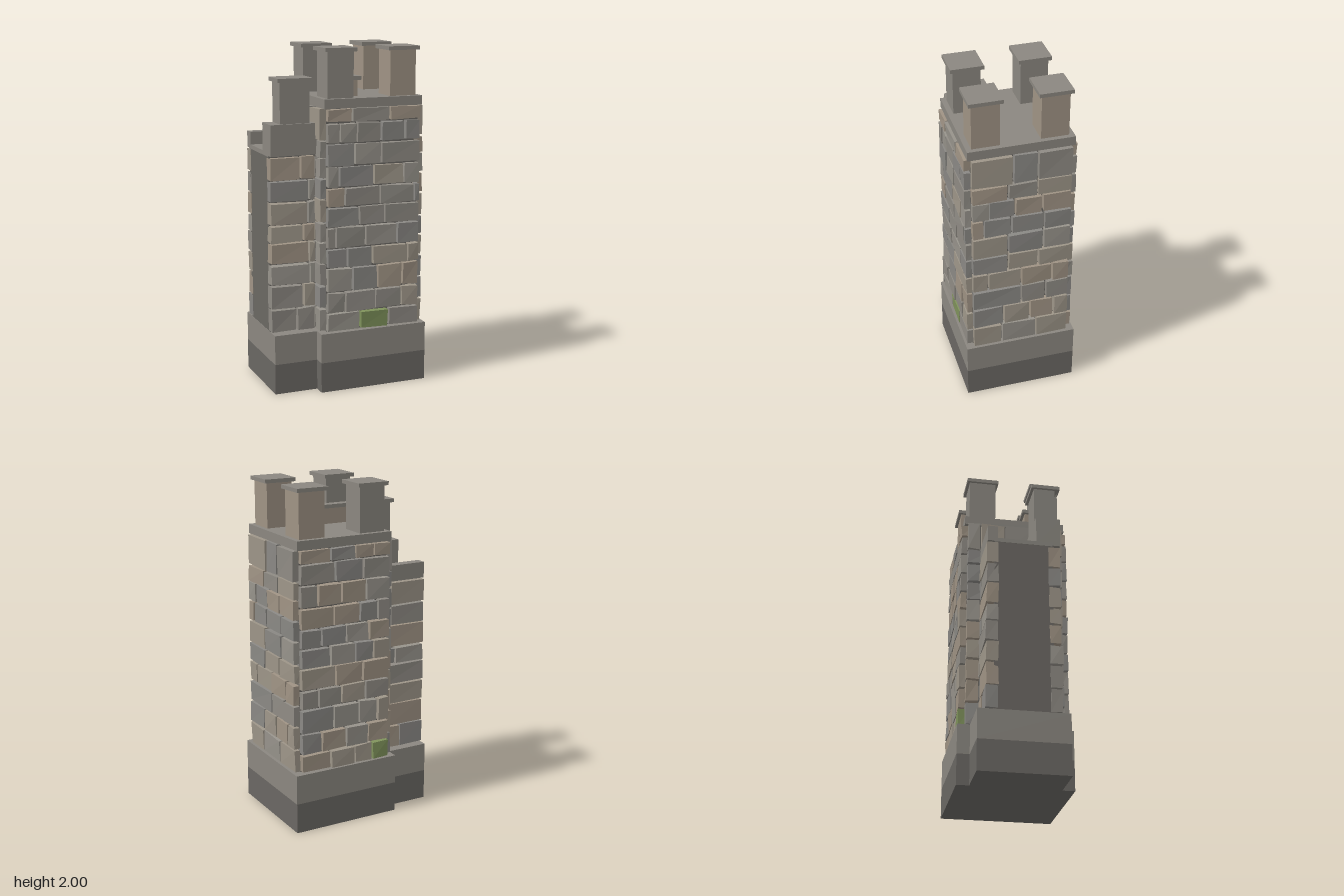
import * as THREE from 'three';

const mat = (color) => new THREE.MeshStandardMaterial({ color, flatShading: true });
const GREY = mat(0x8b8780), DARK = mat(0x6a6763), MORTAR = mat(0x6b6863), TAN = mat(0x9f9384), MOSS = mat(0x7f925b);
const STONES = [0x97938b, 0x8f8b84, 0x9d9588, 0x8a8884, 0x9f9384].map(mat);

// Small seeded generator for the stone irregularities
let seed = 7;
const rnd = () => {
  seed = (seed * 16807) % 2147483647;
  return seed / 2147483647;
};

// Box given by its limits on each axis
function block(name, [x0, x1], [y0, y1], [z0, z1], material) {
  const m = new THREE.Mesh(new THREE.BoxGeometry(x1 - x0, y1 - y0, z1 - z0), material);
  m.position.set((x0 + x1) / 2, (y0 + y1) / 2, (z0 + z1) / 2);
  m.name = name;
  return m;
}

// One rough stone: outer corners are pushed about slightly, keeping shared corners together
function stone(x0, x1, y0, y1, depth, material) {
  const m = block('stone', [x0, x1], [y0, y1], [-0.02, depth], material);
  const p = m.geometry.attributes.position;
  const shifts = Array.from({ length: 8 }, () => [0.005 * (rnd() - 0.5), 0.008 * (rnd() - 0.5), -0.008 * rnd()]);
  for (let i = 0; i < p.count; i++) {
    const k = (p.getX(i) > 0 ? 1 : 0) + (p.getY(i) > 0 ? 2 : 0) + (p.getZ(i) > 0 ? 4 : 0);
    const s = shifts[k];
    p.setXYZ(i, p.getX(i) + s[0], p.getY(i) + s[1], p.getZ(i) + s[2]);
  }
  m.geometry.computeVertexNormals();
  return m;
}

// Stone courses on one wall, local x along the wall and local z outward.
// bottoms: course bottoms then the top; splits: joints of each course; moss: stone index in the first course
function wall(name, bottoms, splits, [u0, u1], depth, moss = -1) {
  const g = new THREE.Group();
  g.name = name;
  const gap = 0.006;
  for (let r = 0; r < bottoms.length - 1; r++) {
    const edges = [u0 - gap, ...splits[r % splits.length], u1 + gap];
    for (let i = 0; i < edges.length - 1; i++) {
      const material = r === 0 && i === moss ? MOSS : STONES[Math.floor(rnd() * STONES.length)];
      g.add(stone(edges[i] + gap, edges[i + 1] - gap, bottoms[r] + gap, bottoms[r + 1] - gap, depth - 0.004 * rnd(), material));
    }
  }
  return g;
}

function chimney(name, x, z, w, d, y0, y1, material) {
  const g = new THREE.Group();
  g.name = name;
  const o = 0.0165;
  g.add(block('shaft', [x - w / 2, x + w / 2], [y0, y1 - 0.02], [z - d / 2, z + d / 2], material));
  g.add(block('cap', [x - w / 2 - o, x + w / 2 + o], [y1 - 0.022, y1], [z - d / 2 - o, z + d / 2 + o], GREY));
  return g;
}

export function createModel() {
  const model = new THREE.Group();
  model.name = 'stoneTower';

  // Foundations: dark footing with a paler plinth on it
  for (const [name, xs, zs] of [
    ['tower', [-0.205, 0.46], [-0.333, 0.333]],
    ['annex', [-0.465, -0.2], [-0.26, 0.26]],
  ]) {
    model.add(block(name + 'Footing', xs, [0, 0.18], zs, DARK));
    model.add(block(name + 'Plinth', xs, [0.18, 0.355], zs, GREY));
  }

  // Tower body
  const cx = 0.1275, h = 0.285;
  model.add(block('towerCore', [cx - h, cx + h], [0.35, 1.67], [-h, h], MORTAR));
  model.add(block('roofSlab', [-0.175, 0.43], [1.662, 1.716], [-0.305, 0.305], GREY));

  const frontRows = [0.355, 0.467, 0.593, 0.737, 0.852, 0.98, 1.097, 1.21, 1.332, 1.463, 1.583, 1.664];
  const sideRows = [0.355, 0.496, 0.632, 0.762, 0.888, 1.005, 1.142, 1.262, 1.38, 1.48, 1.664];
  const frontJoints = [
    [0.045, 0.225], [-0.05, 0.14, 0.305], [-0.005, 0.155, 0.31], [-0.04, 0.12, 0.345], [-0.11, 0.075, 0.275], [0.035, 0.195],
    [-0.055, 0.165, 0.38], [-0.09, 0.125, 0.315], [0.005, 0.17], [-0.085, 0.02, 0.17, 0.32], [-0.01, 0.225],
  ].map((row) => row.map((x) => x - cx));
  const sideJoints = [
    [-0.115, 0.095], [-0.105, 0.055, 0.2], [0, 0.15], [-0.195, 0, 0.185], [-0.08, 0.1],
    [-0.08, 0.13], [-0.22, -0.06, 0.13], [-0.19, -0.04, 0.12], [-0.08, 0.09], [-0.05, 0.09],
  ];
  const backJoints = [[-0.1, 0.06, 0.18], [-0.16, 0, 0.15], [-0.08, 0.09, 0.21], [-0.18, -0.03, 0.13], [-0.07, 0.11]];
  const leftJoints = [[-0.15, 0.05, 0.2], [-0.21, -0.06, 0.12], [-0.11, 0.08], [-0.18, 0.01, 0.21]];
  const sides = [
    ['frontWall', frontRows, frontJoints, 0, 1],
    ['leftWall', sideRows, sideJoints, 1, -1],
    ['backWall', frontRows, backJoints, 2, 3],
    ['rightWall', sideRows, leftJoints, 3, -1],
  ];
  for (const [name, rows, joints, turn, moss] of sides) {
    const w = wall(name, rows, joints, [-h, h], 0.042, moss);
    const a = (turn * Math.PI) / 2;
    w.rotation.y = a;
    w.position.set(cx + h * Math.sin(a), 0, h * Math.cos(a));
    model.add(w);
  }

  // Annex body with stone on front and back
  const ax = -0.33, az = 0.17;
  const annexRows = [0.355, 0.497, 0.637, 0.762, 0.887, 0.992, 1.127, 1.252, 1.39];
  const annexJoints = [-0.31, -0.27, -0.23, -0.235, -0.27, -0.24, -0.235, -0.285].map((x) => [x - ax]);
  const annexBack = annexJoints.map(([u], i) => [-u - (i % 2) * 0.05]);
  model.add(block('annexCore', [-0.463, -0.15], [0.35, 1.41], [-az, az], MORTAR));
  const annexFront = wall('annexFrontWall', annexRows, annexJoints, [-0.135, 0.13], 0.05);
  annexFront.position.set(ax, 0, az);
  const annexRear = wall('annexBackWall', annexRows, annexBack, [-0.13, 0.135], 0.05);
  annexRear.rotation.y = Math.PI;
  annexRear.position.set(ax, 0, -az);
  model.add(annexFront, annexRear);

  // Annex roof: floor, tall front parapet, low back lip
  model.add(block('annexRoof', [-0.465, -0.15], [1.39, 1.415], [-0.17, 0.17], GREY));
  model.add(block('annexFrontParapet', [-0.465, -0.15], [1.395, 1.575], [0.075, 0.217], GREY));
  model.add(block('annexBackLip', [-0.465, -0.15], [1.395, 1.49], [-0.21, -0.15], GREY));

  // Chimneys: four on the corners, one small beside them, one on the annex
  for (const z of [-0.195, 0.195]) {
    model.add(chimney('rightChimney', -0.065, z, 0.16, 0.16, 1.71, 2, GREY));
    model.add(chimney('leftChimney', 0.322, z, 0.16, 0.16, 1.71, 2, TAN));
  }
  model.add(chimney('smallChimney', -0.02, 0.14, 0.177, 0.127, 1.71, 1.832, TAN));
  model.add(chimney('annexChimney', -0.315, 0.14, 0.177, 0.127, 1.57, 1.832, GREY));

  return model;
}
